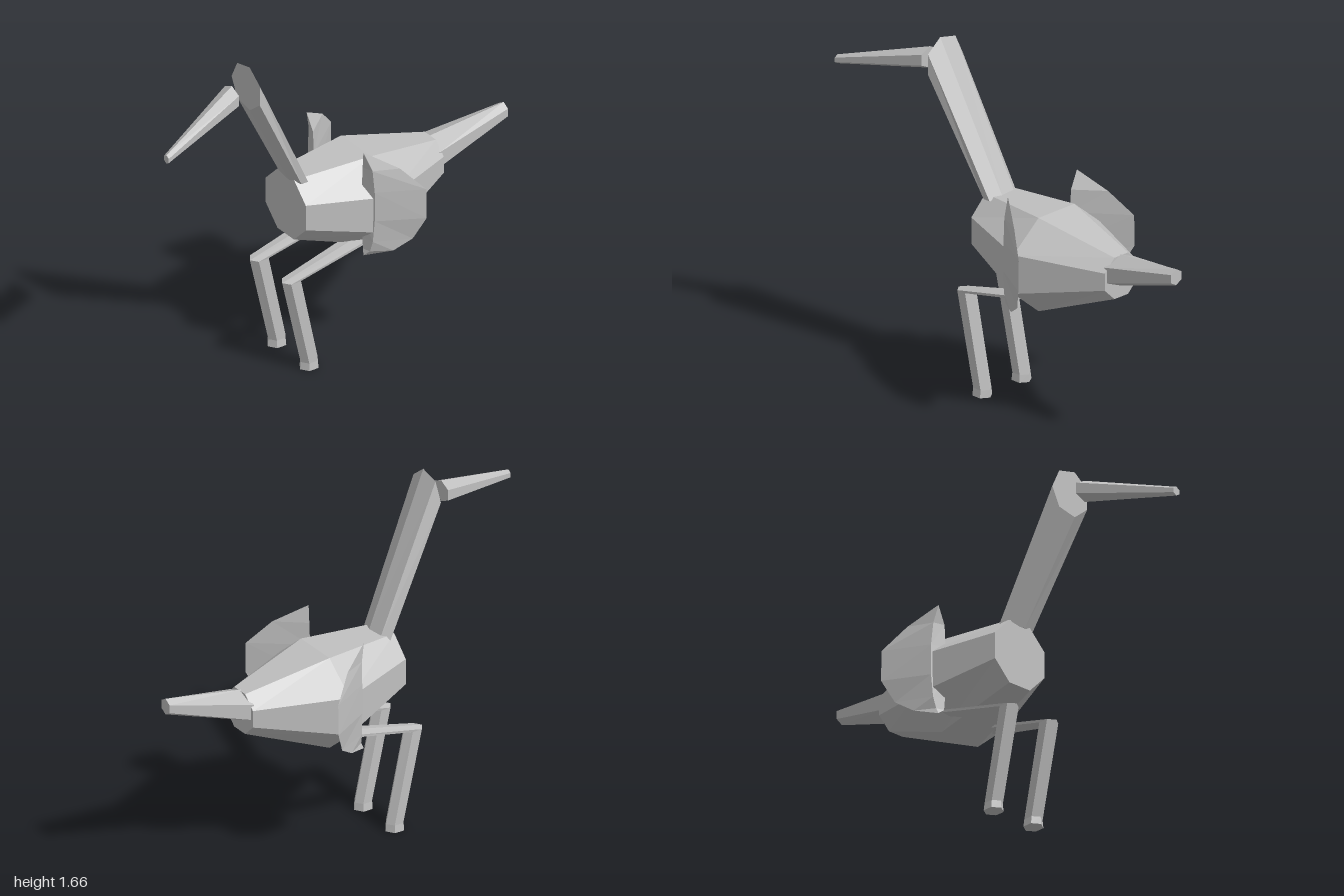
import * as THREE from 'three';

const plumage = new THREE.MeshStandardMaterial({ color: 0xc0c0c0 });
plumage.name = 'plain grey';

// Flat-shaded skin over a list of equal-length rings of [x, y, z], capped at both ends
function loft(name, rings) {
  const n = rings[0].length;
  const tris = [];
  for (let r = 0; r < rings.length - 1; r++) {
    for (let i = 0; i < n; i++) {
      const j = (i + 1) % n;
      const a = rings[r][i], b = rings[r][j], c = rings[r + 1][j], d = rings[r + 1][i];
      tris.push([a, b, c], [a, c, d]);
    }
  }
  const first = rings[0], last = rings[rings.length - 1];
  for (let i = 1; i < n - 1; i++) {
    tris.push([first[0], first[i + 1], first[i]], [last[0], last[i], last[i + 1]]);
  }
  // Turn the faces outward when the signed volume is negative
  const v = (p) => new THREE.Vector3(...p);
  const volume = tris.reduce((s, [a, b, c]) => s + v(a).dot(v(b).cross(v(c))), 0);
  const points = tris.flatMap(([a, b, c]) => (volume < 0 ? [a, c, b] : [a, b, c])).flat();
  const geometry = new THREE.BufferGeometry();
  geometry.setAttribute('position', new THREE.Float32BufferAttribute(points, 3));
  geometry.computeVertexNormals();
  const mesh = new THREE.Mesh(geometry, plumage);
  mesh.name = name;
  return mesh;
}

// n-sided ring; place(cos, sin) turns a unit circle point into a position
function ring(n, start, place) {
  return Array.from({ length: n }, (_, i) => {
    const t = start + (i / n) * Math.PI * 2;
    return place(Math.cos(t), Math.sin(t));
  });
}

// Ring in a plane facing z, and ring lying level
const upright = (n, start, x, y, z, rx, ry) => ring(n, start, (c, s) => [x + rx * c, y + ry * s, z]);
const level = (n, start, x, y, z, rx, rz) => ring(n, start, (c, s) => [x + rx * c, y, z + rz * s]);

export function createModel() {
  const bird = new THREE.Group();
  bird.name = 'bird';
  const eighth = Math.PI / 8;
  const k = 1 / Math.cos(eighth); // flat-to-flat size to corner radius

  // Octagonal body
  bird.add(loft('body', [
    upright(8, eighth, 0, 0.805, 0.19, 0.155 * k, 0.156 * k),
    upright(8, eighth, 0, 0.745, -0.2, 0.275 * k, 0.23 * k),
    upright(8, eighth, 0, 0.783, -0.615, 0.105 * k, 0.102 * k),
  ]));

  // Tail, bent slightly to the left
  bird.add(loft('tail', [
    upright(6, Math.PI / 6, 0, 0.808, -0.6, 0.108, 0.078),
    upright(6, Math.PI / 6, 0.033, 0.905, -1, 0.038, 0.04),
  ]));

  // Neck: level at the body, cut upright at the top
  bird.add(loft('neck', [
    level(7, Math.PI, 0.008, 0.948, 0.152, 0.097, -0.043),
    upright(7, Math.PI, 0.064, 1.545, 0.455, 0.115, 0.115),
  ]));

  // Beak
  bird.add(loft('beak', [
    upright(6, Math.PI / 6, 0.07, 1.527, 0.54, 0.063, 0.053),
    upright(6, Math.PI / 6, 0.202, 1.417, 1, 0.021, 0.022),
  ]));

  for (const side of [1, -1]) {
    const label = side > 0 ? 'left' : 'right';

    // Leg: thigh, knee, shin
    const x = side * 0.125;
    const knee = level(6, Math.PI / 6, x, 0.487, 0.25, 0.041, 0.05);
    const ankle = level(6, Math.PI / 6, x, 0.037, 0.15, 0.04, 0.047);
    const hip = upright(6, Math.PI / 6, x, 0.577, -0.13, 0.058, 0.013);
    bird.add(loft(label + 'Thigh', [hip, knee]));
    bird.add(loft(label + 'Shin', [knee, ankle]));
    bird.add(loft(label + 'Foot', [ankle, level(6, Math.PI / 6, x, 0, 0.15, 0.045, 0.05)]));

    // Wing: wedge sections of outer rib, trailing edge and inner rib, pointed above and below
    const tip = side > 0 ? 0.205 : 0.235;
    const sections = [
      [1.075, tip, -0.095, tip, -0.095, tip, -0.095],
      [0.99, 0.248, -0.115, 0.3, -0.23, 0.192, -0.1],
      [0.88, 0.258, -0.12, 0.368, -0.328, 0.186, -0.1],
      [0.73, 0.258, -0.12, 0.371, -0.328, 0.186, -0.1],
      [0.62, 0.25, -0.115, 0.33, -0.28, 0.19, -0.1],
      [0.565, 0.235, -0.11, 0.29, -0.2, 0.195, -0.1],
      [0.535, tip, -0.095, tip, -0.095, tip, -0.095],
    ];
    bird.add(loft(label + 'Wing', sections.map(([y, ox, oz, tx, tz, ix, iz]) => [
      [side * ox, y, oz], [side * tx, y, tz], [side * ix, y, iz],
    ])));
  }
  return bird;
}
